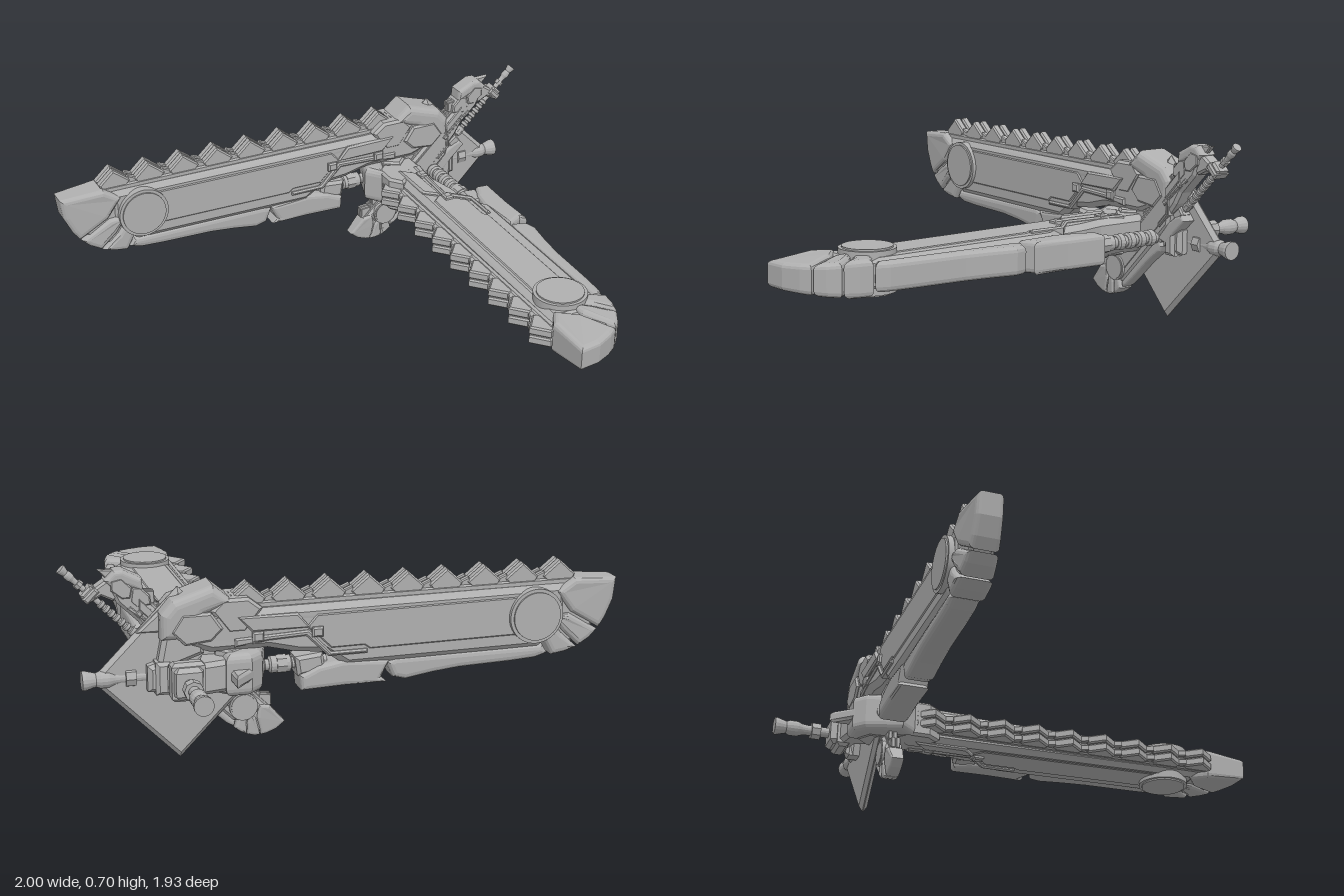
import * as THREE from 'three';

const grey = new THREE.MeshStandardMaterial({ color: 0xafafaf });
grey.name = 'steelGrey';

// Symmetric slab about z = 0 with bevelled edges that stay inside the outline
function slab(parent, name, pts, half, bevel = 0.012, segs = 1) {
  const shape = new THREE.Shape(pts.map((p) => new THREE.Vector2(p[0], p[1])));
  const depth = 2 * (half - bevel);
  const geo = new THREE.ExtrudeGeometry(shape, {
    depth, bevelEnabled: true, bevelThickness: bevel, bevelSize: bevel, bevelOffset: -bevel, bevelSegments: segs,
  });
  geo.translate(0, 0, -depth / 2);
  return add(parent, name, geo);
}

function add(parent, name, geo) {
  const mesh = new THREE.Mesh(geo, grey);
  mesh.name = name;
  parent.add(mesh);
  return mesh;
}

// Thickens the slab from the tip towards the guard
function taper(mesh, x0, s0, x1, s1) {
  const p = mesh.geometry.attributes.position;
  for (let i = 0; i < p.count; i++) {
    const t = THREE.MathUtils.clamp((p.getX(i) - x0) / (x1 - x0), 0, 1);
    p.setZ(i, p.getZ(i) * (s0 + (s1 - s0) * t));
  }
  mesh.geometry.computeVertexNormals();
}

// Turned part along x from [x, radius] pairs
function turned(parent, name, profile, y, sides = 16) {
  const pts = profile.map(([x, r]) => new THREE.Vector2(r, x));
  const geo = new THREE.LatheGeometry(pts, sides).toNonIndexed();
  geo.rotateZ(-Math.PI / 2);
  geo.translate(0, y, 0);
  geo.computeVertexNormals();
  return add(parent, name, geo);
}

function createSword(name) {
  const g = new THREE.Group();
  g.name = name;

  // Blade body and raised side panels
  taper(slab(g, 'bladeCore', [[-0.8, 0.525], [-0.8, 0.4], [-0.7, 0.295], [0.02, 0.295], [0.1, 0.35], [0.2, 0.36], [0.3, 0.385],
    [0.5, 0.385], [0.6, 0.42], [0.6, 0.5], [0.5, 0.53], [0.3, 0.525]], 0.07, 0.022), -0.8, 0.78, 0.4, 1);
  taper(slab(g, 'bladePanel', [[-0.72, 0.495], [-0.72, 0.35], [-0.06, 0.35], [-0.04, 0.365], [0.08, 0.365],
    [0.14, 0.425], [0.17, 0.45], [0.13, 0.495]], 0.074, 0.007), -0.8, 0.78, 0.4, 1);
  slab(g, 'lowerRail', [[-0.05, 0.355], [-0.05, 0.34], [0.09, 0.34], [0.17, 0.42], [0.3, 0.415], [0.42, 0.4], [0.42, 0.43], [0.16, 0.44], [0.08, 0.355]], 0.076, 0.006);
  slab(g, 'forwardPanel', [[0.2, 0.505], [0.155, 0.45], [0.36, 0.45], [0.41, 0.505]], 0.079, 0.007);
  slab(g, 'cheekPanel', [[0.37, 0.57], [0.32, 0.53], [0.38, 0.45], [0.44, 0.45], [0.5, 0.53], [0.46, 0.57]], 0.072, 0.01);
  slab(g, 'rearPanel', [[0.5, 0.53], [0.46, 0.47], [0.5, 0.43], [0.59, 0.42], [0.64, 0.47], [0.6, 0.53]], 0.08, 0.008);

  // Rounded guard cap with its rear point
  slab(g, 'guardCap', [[0.42, 0.56], [0.49, 0.62], [0.55, 0.6], [0.63, 0.575], [0.67, 0.53], [0.67, 0.44],
    [0.6, 0.44], [0.52, 0.52]], 0.076, 0.03, 4);
  slab(g, 'guardPoint', [[0.62, 0.575], [0.65, 0.55], [0.745, 0.46], [0.62, 0.455]], 0.022, 0.01);
  slab(g, 'guardDrop', [[0.52, 0.45], [0.66, 0.46], [0.68, 0.36], [0.715, 0.35], [0.715, 0.26], [0.64, 0.25], [0.61, 0.35], [0.52, 0.38]], 0.056, 0.015);
  slab(g, 'guardCollar', [[0.64, 0.365], [0.64, 0.25], [0.69, 0.25], [0.69, 0.365]], 0.068, 0.012);
  for (const x of [0.13, 0.34]) slab(g, 'clamp', [[x - 0.02, 0.45], [x - 0.02, 0.415], [x + 0.02, 0.415], [x + 0.02, 0.45]], 0.084, 0.006);

  // Lower casing along the back edge
  slab(g, 'lowerCasing', [[-0.72, 0.305], [-0.74, 0.27], [-0.69, 0.255], [-0.6, 0.25], [-0.4, 0.245], [-0.3, 0.235],
    [-0.2, 0.22], [-0.155, 0.232], [-0.13, 0.29], [-0.16, 0.305]], 0.052, 0.02, 3);
  slab(g, 'rearCasing', [[-0.14, 0.3], [-0.11, 0.24], [-0.13, 0.22], [0.02, 0.22], [0.18, 0.215], [0.185, 0.27],
    [0.12, 0.3], [0.03, 0.315]], 0.058, 0.018, 3);
  slab(g, 'casingBracket', [[0.1, 0.345], [0.09, 0.28], [0.19, 0.265], [0.2, 0.335]], 0.045, 0.012);

  // Segmented rounded tip
  const tips = [
    [[-1, 0.532], [-0.99, 0.45], [-0.96, 0.385], [-0.935, 0.35], [-0.82, 0.42], [-0.76, 0.5], [-0.83, 0.545]],
    [[-0.93, 0.345], [-0.9, 0.315], [-0.855, 0.29], [-0.79, 0.35], [-0.74, 0.42], [-0.815, 0.415]],
    [[-0.85, 0.287], [-0.8, 0.272], [-0.75, 0.265], [-0.72, 0.32], [-0.68, 0.4], [-0.74, 0.41], [-0.785, 0.347]],
  ];
  for (const pts of tips) taper(slab(g, 'tipSegment', pts, 0.064, 0.02, 3), -1, 0.72, -0.82, 1);
  taper(slab(g, 'tipCore', [[-0.97, 0.52], [-0.95, 0.41], [-0.88, 0.32], [-0.75, 0.28], [-0.68, 0.38], [-0.7, 0.5]], 0.05, 0.015), -1, 0.72, -0.82, 1);

  // Large pivot disc through the nose
  const rim = new THREE.CylinderGeometry(0.1, 0.1, 0.15, 40).rotateX(Math.PI / 2).translate(-0.68, 0.42, 0);
  add(g, 'pivotRim', rim);
  add(g, 'pivotFace', new THREE.CylinderGeometry(0.088, 0.088, 0.162, 40).rotateX(Math.PI / 2).translate(-0.68, 0.42, 0));

  // Chain bar and two rows of overlapping teeth
  slab(g, 'chainBar', [[-0.83, 0.545], [-0.83, 0.5], [0.48, 0.5], [0.48, 0.545]], 0.038, 0.006);
  for (let i = 0; i < 9; i++) {
    const x = -0.78 + i * 0.1425;
    for (const z of [-0.019, 0.019]) {
      const front = slab(g, 'tooth', [[x, 0.61], [x - 0.06, 0.555], [x - 0.035, 0.51], [x + 0.03, 0.51], [x + 0.068, 0.555]], 0.017, 0.006);
      const link = slab(g, 'chainLink', [[x + 0.06, 0.572], [x + 0.035, 0.515], [x + 0.11, 0.515], [x + 0.1, 0.555]], 0.013, 0.004);
      front.position.z = link.position.z = z;
    }
  }

  // Ribbed shaft, grip and flared pommel
  turned(g, 'shaft', [[0.08, 0], [0.08, 0.02], [0.8, 0.02], [0.8, 0]], 0.305);
  for (let i = 0; i < 8; i++) {
    const x = 0.205 + i * 0.048;
    turned(g, 'shaftRib', [[x, 0], [x, 0.022], [x + 0.006, 0.03], [x + 0.028, 0.03], [x + 0.034, 0.022], [x + 0.034, 0]], 0.305);
  }
  for (const x of [0.225, 0.75]) turned(g, 'shaftNut', [[x, 0], [x, 0.034], [x + 0.035, 0.034], [x + 0.035, 0]], 0.305, 8);
  turned(g, 'pommel', [[0.78, 0], [0.78, 0.018], [0.82, 0.022], [0.84, 0.03], [0.87, 0.03], [0.885, 0.024],
    [0.92, 0.034], [0.932, 0.034], [0.932, 0]], 0.305);
  return g;
}

export function createModel() {
  const model = new THREE.Group();
  model.name = 'chainBladeSet';

  // Upright blade
  const upright = createSword('uprightBlade');
  upright.position.z = -0.6;
  model.add(upright);

  // Flat blade crossing it towards the front
  const flat = createSword('flatBlade');
  flat.quaternion.setFromRotationMatrix(new THREE.Matrix4().makeBasis(
    new THREE.Vector3(0, 0, -1), new THREE.Vector3(-1, 0, 0), new THREE.Vector3(0, 1, 0)));
  flat.position.set(0.9, 0.31, -0.04);
  model.add(flat);

  // Half-size diagonal blade
  const small = createSword('smallBlade');
  small.scale.setScalar(0.5);
  small.rotation.z = Math.PI / 4;
  small.position.set(0.762, 0.25, -0.56);
  model.add(small);

  // Diamond plate at the crossing
  const plate = slab(model, 'diamondPlate', [[0.6, 0], [0.9, 0.305], [0.6, 0.61], [0.3, 0.305]], 0.017, 0.015);
  plate.position.z = -0.598;
  return model;
}
